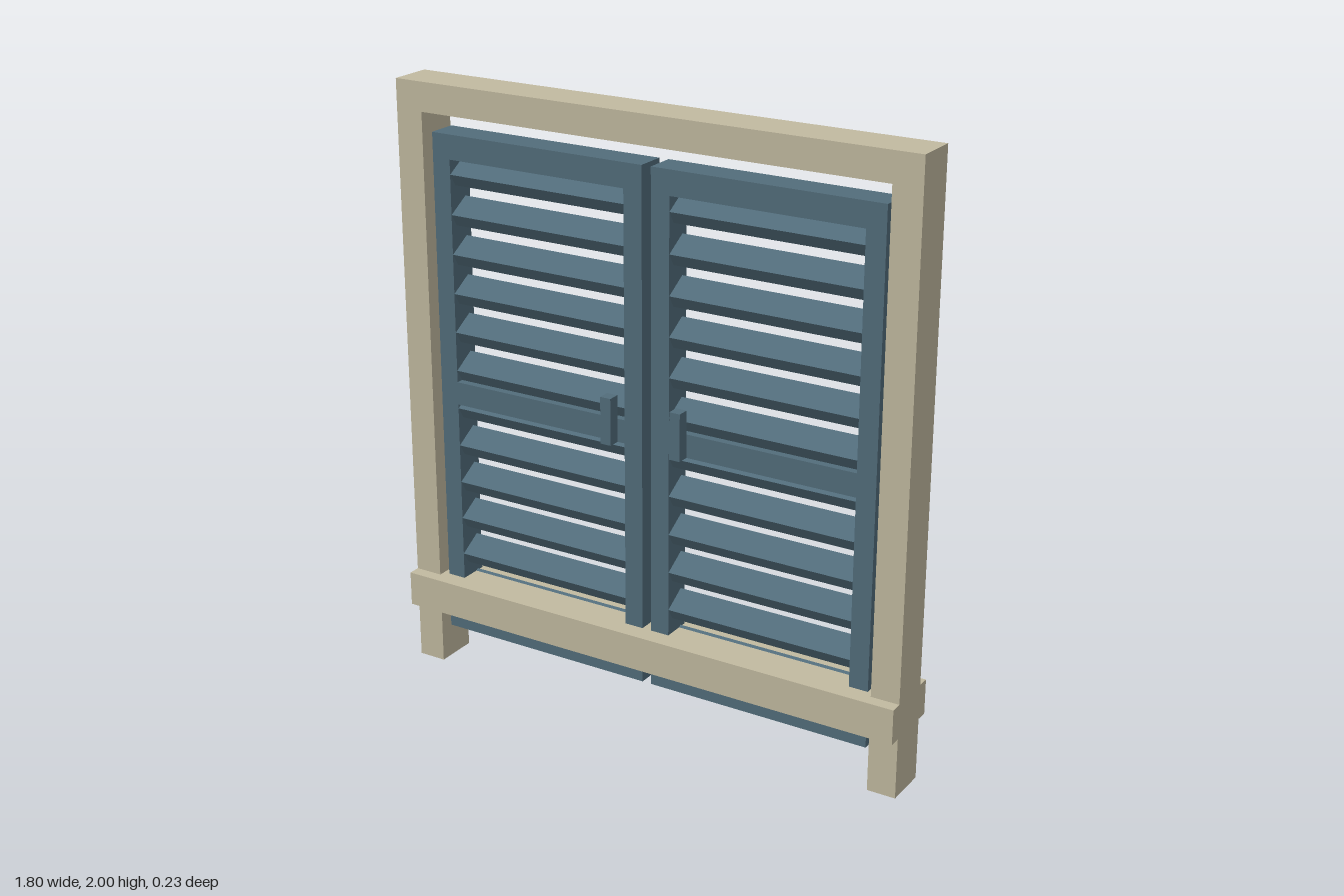
import * as THREE from 'three';

const frameMat = new THREE.MeshStandardMaterial({ color: 0xc2baa0 });
frameMat.name = 'beige frame';
const shutterMat = new THREE.MeshStandardMaterial({ color: 0x526d7b });
shutterMat.name = 'slate blue shutter';

// Box given by its minimum and maximum corners
function box(parent, name, mat, [x0, y0, z0], [x1, y1, z1]) {
  const mesh = new THREE.Mesh(new THREE.BoxGeometry(x1 - x0, y1 - y0, z1 - z0), mat);
  mesh.position.set((x0 + x1) / 2, (y0 + y1) / 2, (z0 + z1) / 2);
  mesh.name = name;
  parent.add(mesh);
  return mesh;
}

// One louvred panel; side is +1 for the model's left, -1 for its right
function createShutter(side) {
  const panel = new THREE.Group();
  panel.name = side > 0 ? 'leftShutter' : 'rightShutter';
  const d = 0.05, inner = 0.016, outer = 0.784, stile = 0.064;
  const bottom = 0.13, top = 1.84, rail = 0.08;
  const part = (name, x0, x1, y0, y1, z0 = -d, z1 = d) => box(panel, name, shutterMat,
    [Math.min(side * x0, side * x1), y0, z0], [Math.max(side * x0, side * x1), y1, z1]);

  // Surround
  part('innerStile', inner, inner + stile, bottom, top);
  part('outerStile', outer - stile, outer, bottom, top);
  part('topRail', inner + stile, outer - stile, top - rail, top);
  part('middleRail', inner + stile, outer - stile, 0.945, 1.022);
  part('bottomRail', inner + stile, outer - stile, bottom, bottom + rail);

  // Slats sloping down towards the front
  const slatGeo = new THREE.BoxGeometry(outer - inner - 2 * stile, 0.046, 0.088);
  for (let i = 0; i < 12; i++) {
    const slat = new THREE.Mesh(slatGeo, shutterMat);
    slat.name = 'slat';
    slat.position.set(side * (inner + outer) / 2, 1.715 - i * 0.13, 0);
    slat.rotation.x = 0.55;
    panel.add(slat);
  }

  // Upright handle on the middle rail
  part('handle', 0.106, 0.143, 0.945, 1.1, d, 0.09);
  return panel;
}

export function createModel() {
  const model = new THREE.Group();
  model.name = 'shutteredWindow';
  const z = 0.0725;

  // Outer frame and sill
  box(model, 'leftPost', frameMat, [0.805, 0, -z], [0.9, 2, z]);
  box(model, 'rightPost', frameMat, [-0.9, 0, -z], [-0.805, 2, z]);
  box(model, 'head', frameMat, [-0.805, 1.905, -z], [0.805, 2, z]);
  box(model, 'sill', frameMat, [-0.9, 0.205, -0.113], [0.9, 0.322, 0.113]);

  for (const side of [-1, 1]) model.add(createShutter(side));
  return model;
}
